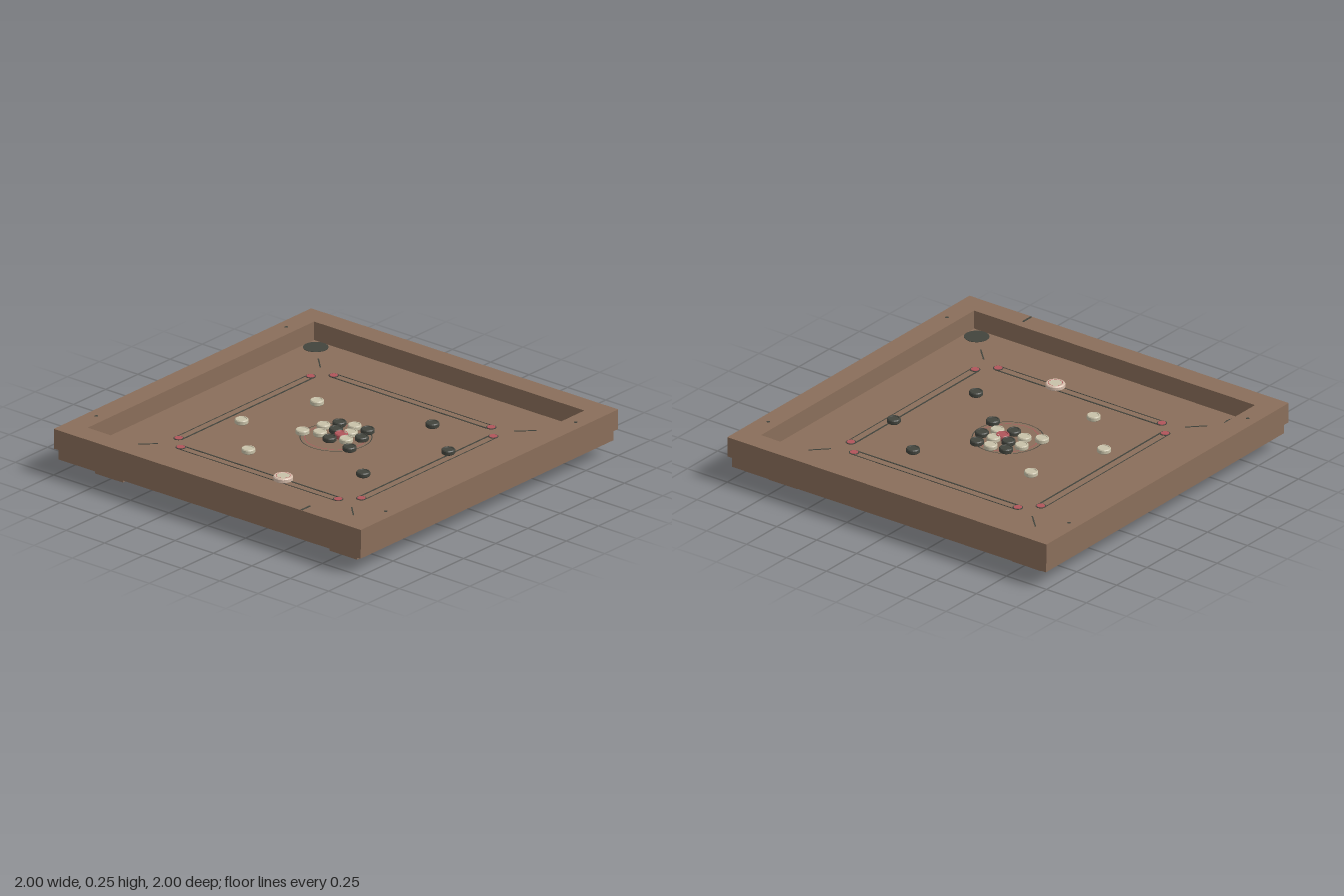
import * as THREE from 'three';

const material = (name, color) => {
  const m = new THREE.MeshStandardMaterial({ color });
  m.name = name;
  return m;
};

export function createModel() {
  const wood = material('wood', 0x8a6e5a);
  const dark = material('charcoal', 0x42443d);
  const cream = material('cream', 0xc8c1a8);
  const red = material('red', 0xb0555a);
  const blush = material('blush', 0xd6bcaa);

  const model = new THREE.Group();
  model.name = 'tableGameBoard';
  const SURFACE = 0.15, TOP = 0.25;

  const add = (name, geometry, mat, x, y, z, parent = model) => {
    const mesh = new THREE.Mesh(geometry, mat);
    mesh.name = name;
    mesh.position.set(x, y, z);
    parent.add(mesh);
    return mesh;
  };
  const disc = (name, r, mat, x, y, z, parent) =>
    add(name, new THREE.CylinderGeometry(r, r, 0.002, 32), mat, x, y, z, parent);
  const ring = (name, r0, r1, mat, x, y, z, parent) =>
    add(name, new THREE.RingGeometry(r0, r1, 48).rotateX(-Math.PI / 2), mat, x, y, z, parent);
  const strip = (name, w, d, x, z, parent, y = SURFACE + 0.001) =>
    add(name, new THREE.BoxGeometry(w, 0.002, d), dark, x, y, z, parent);

  // Raised frame with a square opening
  const square = (path, h) => path.moveTo(-h, -h).lineTo(h, -h).lineTo(h, h).lineTo(-h, h).closePath();
  const outline = square(new THREE.Shape(), 1);
  outline.holes.push(square(new THREE.Path(), 0.88));
  const frame = new THREE.ExtrudeGeometry(outline, { depth: TOP - 0.143, bevelEnabled: false });
  add('frame', frame.rotateX(-Math.PI / 2), wood, 0, 0.143, 0);

  // Base panel, with the playing surface inside the frame
  add('basePanel', new THREE.BoxGeometry(1.965, 0.06, 1.965), wood, 0, 0.113, 0);
  add('playingSurface', new THREE.BoxGeometry(1.76, 0.01, 1.76), wood, 0, SURFACE - 0.005, 0);

  // Feet, pockets, corner lines and frame pins
  for (const sx of [-1, 1]) for (const sz of [-1, 1]) {
    add('foot', new THREE.BoxGeometry(0.18, 0.085, 0.18), wood, sx * 0.763, 0.0425, sz * 0.763);
    disc('pocket', 0.064, dark, sx * 0.815, SURFACE + 0.001, sz * 0.815);
    strip('cornerLine', 0.113, 0.007, sx * 0.67, sz * 0.67).rotation.y = -sx * sz * Math.PI / 4;
    disc('framePin', 0.009, dark, sx * 0.942, TOP, sz * 0.738);
  }
  strip('frameMark', 0.012, 0.07, 0.61, 0.962, model, TOP);

  // Four base lines with a red spot at each end
  for (let i = 0; i < 4; i++) {
    const side = new THREE.Group();
    side.name = 'baseLine';
    side.rotation.y = i * Math.PI / 2;
    strip('innerLine', 1.03, 0.008, 0, 0.573, side);
    strip('outerLine', 1.03, 0.004, 0, 0.617, side);
    for (const x of [-0.513, 0.513]) {
      disc('spotRim', 0.026, dark, x, SURFACE + 0.002, 0.595, side);
      disc('spot', 0.021, red, x, SURFACE + 0.004, 0.595, side);
    }
    model.add(side);
  }

  // Centre circles
  ring('centreCircle', 0.177, 0.182, dark, 0, SURFACE + 0.002, 0);
  ring('centreInnerCircle', 0.154, 0.158, red, 0, SURFACE + 0.002, 0);

  // Turned playing pieces with a bevelled edge and a shallow dish on top
  const pieceGeometry = (r, h) => {
    const points = [[0, 0], [0.85, 0], [1, 0.2], [1, 0.8], [0.9, 1], [0.76, 1], [0.72, 0.88], [0, 0.88]];
    const lathe = new THREE.LatheGeometry(points.map(([x, y]) => new THREE.Vector2(x * r, y * h)), 28);
    const flat = lathe.toNonIndexed();
    flat.computeVertexNormals();
    return flat;
  };
  const small = pieceGeometry(0.035, 0.026);
  const place = (name, mat, spots) => spots.forEach(([x, z]) => add(name, small, mat, x, SURFACE, z));
  place('darkPiece', dark, [
    [0.28, -0.415], [0.56, -0.205], [0.418, 0.287], [-0.085, -0.128], [0.083, -0.147],
    [-0.043, -0.052], [0.122, -0.055], [0.003, 0.053], [0.158, 0.083],
  ]);
  place('lightPiece', cream, [
    [-0.345, -0.264], [-0.477, 0.164], [-0.213, 0.427], [0, -0.144], [-0.125, -0.052],
    [0.04, -0.067], [0.078, 0.015], [-0.08, 0.03], [-0.16, 0.07],
  ]);
  place('redPiece', red, [[0.02, -0.018]]);

  // Striker with an inlaid face and a red ring
  const striker = new THREE.Group();
  striker.name = 'striker';
  striker.position.set(0.152, SURFACE + 0.004, 0.592);
  add('strikerBody', pieceGeometry(0.05, 0.026), blush, 0, 0, 0, striker);
  disc('strikerFace', 0.036, cream, 0, 0.0235, 0, striker);
  ring('strikerRing', 0.034, 0.037, red, 0, 0.0268, 0, striker);
  model.add(striker);

  return model;
}
